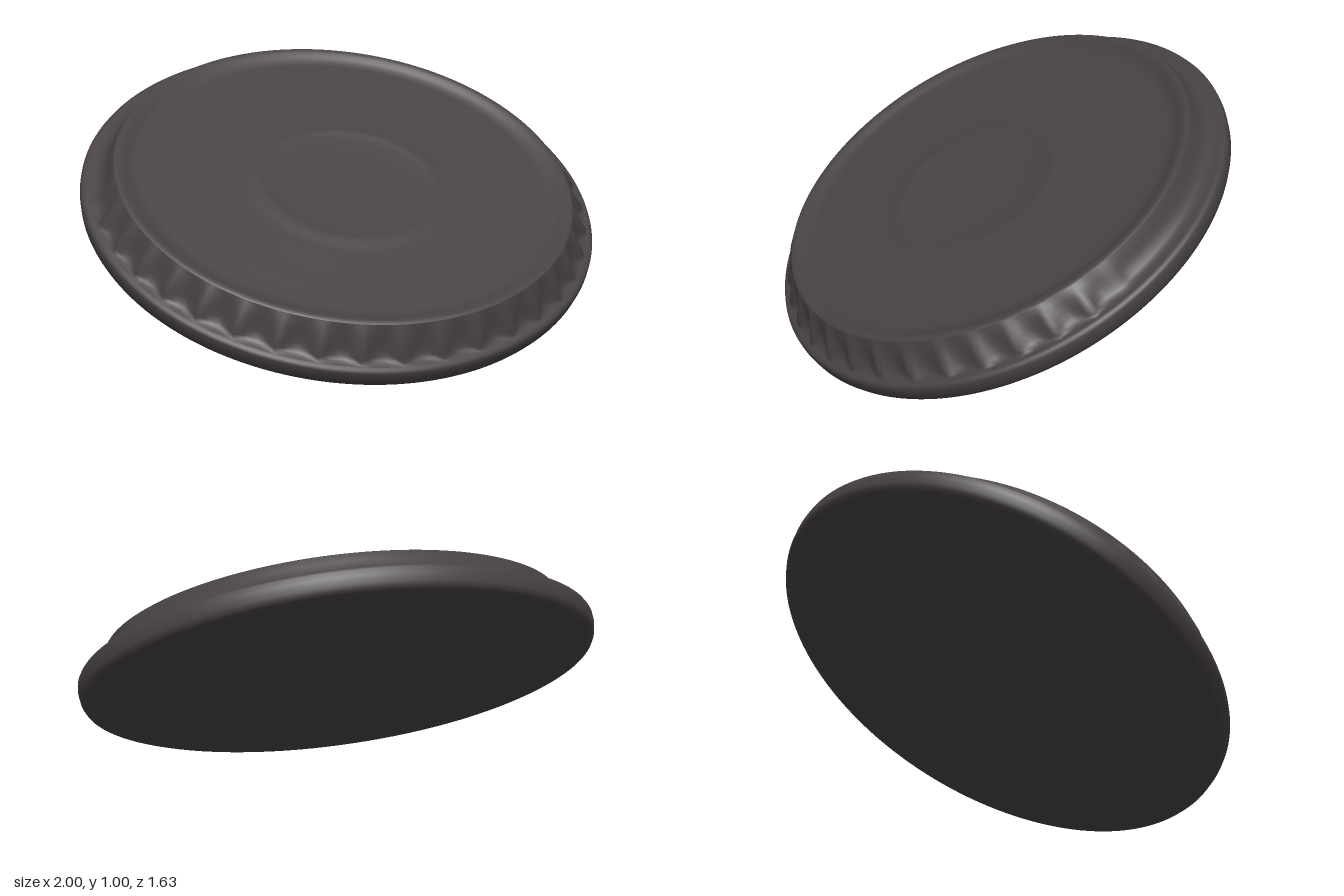
import * as THREE from 'three';
import { mergeVertices } from 'three/addons/utils/BufferGeometryUtils.js';

const DEPTH = 0.925; // the disc is slightly oval
const TILT = THREE.MathUtils.degToRad(28.3);
const FLUTES = 40; // spacing of the flutes if they ran all the way round
const RIM = 0.148; // height of the skirt's upper edge
const LEDGE = 0.044; // height of the flange's upper edge

// Revolves a profile of [radius, height], then shapes it with a rule.
function ovalLathe(profile, rule) {
  const points = profile.map(([r, y]) => new THREE.Vector2(r, y));
  let geo = new THREE.LatheGeometry(points, 240);
  geo.deleteAttribute('uv');
  geo.deleteAttribute('normal');
  const pos = geo.attributes.position;
  for (let i = 0; i < pos.count; i++) {
    const x = pos.getX(i), y = pos.getY(i), z = pos.getZ(i);
    const p = { r: Math.hypot(x, z), y, phi: Math.atan2(x, z), shift: 0 };
    rule(p);
    pos.setXYZ(i, p.r * Math.sin(p.phi), p.y, p.r * Math.cos(p.phi) * DEPTH + p.shift);
  }
  geo = mergeVertices(geo, 1e-5);
  geo.computeVertexNormals();
  return geo;
}

// The lower part sits a little lower at the front than at the back.
const sag = (p, amount) => { p.y -= 0.016 * Math.cos(p.phi) * p.r * amount; };

export function createModel() {
  const charcoal = new THREE.MeshStandardMaterial({ color: 0x474241 });
  charcoal.name = 'charcoal';

  const disc = new THREE.Group();
  disc.name = 'tiltedDisc';
  const add = (name, geo) => {
    const mesh = new THREE.Mesh(geo, charcoal);
    mesh.name = name;
    disc.add(mesh);
  };

  // Flat underside with a narrow, squared outer flange
  add('baseFlange', ovalLathe([
    [0, -0.04], [0.5, -0.04], [0.9, -0.041], [0.97, -0.04], [0.986, -0.034],
    [0.995, -0.018], [1, 0.01], [0.999, 0.03], [0.993, 0.041], [0.98, LEDGE],
  ], (p) => sag(p, 1)));

  // Grooved skirt, with scooped flutes around the front half
  const wall = [[0.98, LEDGE], [0.962, 0.045], [0.945, 0.048], [0.93, 0.056], [0.918, 0.07],
    [0.908, 0.09], [0.901, 0.112], [0.894, 0.132], [0.887, RIM]];
  add('flutedSkirt', ovalLathe(wall, (p) => {
    const front = THREE.MathUtils.smoothstep(Math.cos(p.phi), -0.2, 0.1);
    const t = THREE.MathUtils.clamp((p.y - LEDGE) / (RIM - LEDGE), 0, 1);
    const rib = 1 - Math.abs(Math.cos(p.phi * FLUTES / 2));
    p.r += front * Math.sin(Math.PI * Math.sqrt(t)) * (0.008 + 0.034 * rib);
    sag(p, 1 - t);
  }));

  // Top face: rounded lip, shallow dish and a faint central ring
  add('topFace', ovalLathe([
    [0.887, RIM], [0.88, 0.152], [0.868, 0.152], [0.852, 0.148], [0.835, 0.139],
    [0.815, 0.131], [0.79, 0.128], [0.7, 0.128], [0.42, 0.128], [0.385, 0.13], [0.355, 0.135],
    [0.33, 0.133], [0.3, 0.127], [0.2, 0.125], [0.1, 0.126], [0, 0.126],
  ], (p) => { p.shift = 0.04 * (1 - THREE.MathUtils.smoothstep(p.r, 0.4, 0.8)); }));

  // Lean the disc back, then stand it on the ground and centre it
  disc.rotation.x = TILT;
  const model = new THREE.Group();
  model.name = 'disc';
  model.add(disc);
  model.updateMatrixWorld(true);
  const box = new THREE.Box3().setFromObject(model, true);
  const centre = box.getCenter(new THREE.Vector3());
  disc.position.set(-centre.x, -box.min.y, -centre.z);
  return model;
}
